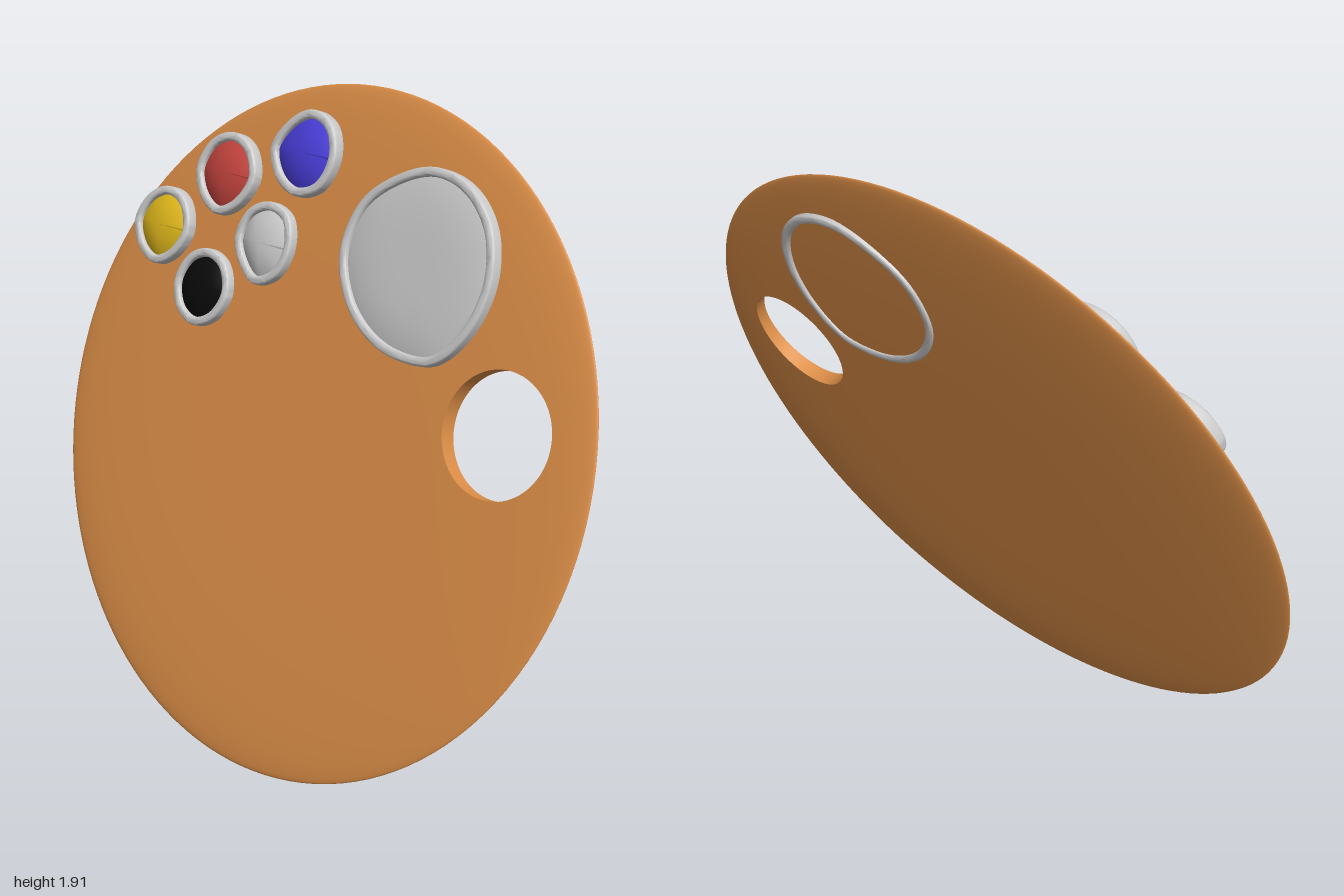
import * as THREE from 'three';
import { toCreasedNormals } from 'three/addons/utils/BufferGeometryUtils.js';
import { ParametricGeometry } from 'three/addons/geometries/ParametricGeometry.js';

const TILT = 0.304;                       // board leans back
const CENTRE_Y = 0.955;
const HOLE = { x: 0.685, y: 0.155, r: 0.172 };
const GREY = 0xcccccc;

const mat = (color) => new THREE.MeshStandardMaterial({ color });

function mesh(name, geometry, color) {
  const m = new THREE.Mesh(geometry, mat(color));
  m.name = name;
  return m;
}

// Half thickness of the board: full in the middle, thinning to a round edge
const halfThickness = (x, y) => 0.027 * Math.sqrt(Math.max(0, 1 - (x * x + y * y) ** 2));

// Nested circles from the thumb hole (t = 0) to the board's edge (t = 1)
function boardPoint(angle, t, side, target) {
  const r = HOLE.r + (1 - HOLE.r) * t;
  const x = HOLE.x * (1 - t) + r * Math.cos(angle);
  const y = HOLE.y * (1 - t) + r * Math.sin(angle);
  target.set(x, y, side * halfThickness(x, y));
}

function makeBoard() {
  const group = new THREE.Group();
  group.name = 'board';
  const color = 0xdd8f48;
  // Back face, round the edge, then front face
  const faces = new ParametricGeometry((u, v, p) => {
    boardPoint(u * Math.PI * 2, Math.min(1, Math.sin(v * Math.PI)), v < 0.5 ? -1 : 1, p);
  }, 128, 64);
  // Wall of the thumb hole
  const wall = new ParametricGeometry((u, v, p) => {
    boardPoint(u * Math.PI * 2, 0, 1 - 2 * v, p);
  }, 128, 2);
  group.add(mesh('boardFaces', faces, color), mesh('thumbHoleWall', wall, color));
  return group;
}

// Closed smooth outline from radii at even angles, centred on its own origin
function outlineCurve(radii) {
  const pts = radii.map((r, i) => {
    const a = (i / radii.length) * Math.PI * 2;
    return new THREE.Vector3(r * Math.cos(a), r * Math.sin(a) / Math.cos(TILT), 0);
  });
  return new THREE.CatmullRomCurve3(pts, true);
}

// Point on the outline moved inwards by d
function insetPoint(curve, u, d) {
  const p = curve.getPoint(u % 1);
  const t = curve.getTangent(u % 1);
  return new THREE.Vector2(p.x - t.y * d, p.y + t.x * d);
}

function insetLoop(curve, d, n = 72) {
  return Array.from({ length: n }, (_, i) => insetPoint(curve, i / n, d));
}

// Paint well: rounded rim with a domed filling
function makeWell({ name, x, y, radii, color, back, front, edge, peak, power }) {
  const group = new THREE.Group();
  group.name = name;
  const curve = outlineCurve(radii);
  const bevel = 0.008, width = 0.026;

  const shape = new THREE.Shape(insetLoop(curve, bevel));
  shape.holes.push(new THREE.Path(insetLoop(curve, width - bevel).reverse()));
  const rim = new THREE.ExtrudeGeometry(shape, {
    depth: front - back - 2 * bevel,
    bevelEnabled: true, bevelThickness: bevel, bevelSize: bevel, bevelSegments: 4,
  });
  rim.translate(0, 0, back + bevel);
  group.add(mesh('rim', toCreasedNormals(rim, 0.7), GREY));

  const fill = new ParametricGeometry((u, v, p) => {
    const q = insetPoint(curve, u, width - 0.006);
    const k = 1 - 0.999 * v;
    p.set(q.x * k, q.y * k, edge + (peak - edge) * (1 - k ** power));
  }, 72, 16);
  group.add(mesh('paint', fill, color));

  // Front-view centre converted to the board's own plane
  group.position.set(x, (y - CENTRE_Y - front * Math.sin(TILT)) / Math.cos(TILT), 0);
  return group;
}

const small = { back: 0, front: 0.056, edge: 0.038, peak: 0.064, power: 2.2 };
const WELLS = [
  { name: 'yellowWell', x: -0.70, y: 1.435, color: 0xe0b81c, ...small,
    radii: [0.125, 0.12, 0.115, 0.115, 0.123, 0.112, 0.115, 0.113] },
  { name: 'redWell', x: -0.47, y: 1.62, color: 0xc4443e, ...small,
    radii: [0.128, 0.12, 0.117, 0.12, 0.125, 0.115, 0.12, 0.117] },
  { name: 'blueWell', x: -0.17, y: 1.715, color: 0x4a3edb, ...small,
    radii: [0.125, 0.123, 0.12, 0.116, 0.133, 0.119, 0.12, 0.126] },
  { name: 'whiteWell', x: -0.26, y: 1.45, color: GREY, ...small,
    radii: [0.116, 0.122, 0.117, 0.117, 0.113, 0.102, 0.117, 0.117] },
  { name: 'blackWell', x: -0.475, y: 1.29, color: 0x0a0a0a, ...small,
    radii: [0.12, 0.115, 0.11, 0.111, 0.116, 0.114, 0.115, 0.115] },
  // Large mixing well, its rim passing just through the back of the board
  { name: 'mixingWell', x: 0.32, y: 1.48, color: GREY,
    back: -0.033, front: 0.056, edge: 0.04, peak: 0.054, power: 4,
    radii: [0.265, 0.265, 0.262, 0.26, 0.257, 0.275, 0.275, 0.252, 0.238, 0.243, 0.268, 0.265] },
];

export function createModel() {
  const model = new THREE.Group();
  model.name = 'paintPalette';
  const tilted = new THREE.Group();
  tilted.name = 'tiltedPalette';
  tilted.add(makeBoard(), ...WELLS.map(makeWell));
  tilted.rotation.x = -TILT;
  tilted.position.y = CENTRE_Y;
  model.add(tilted);
  return model;
}
